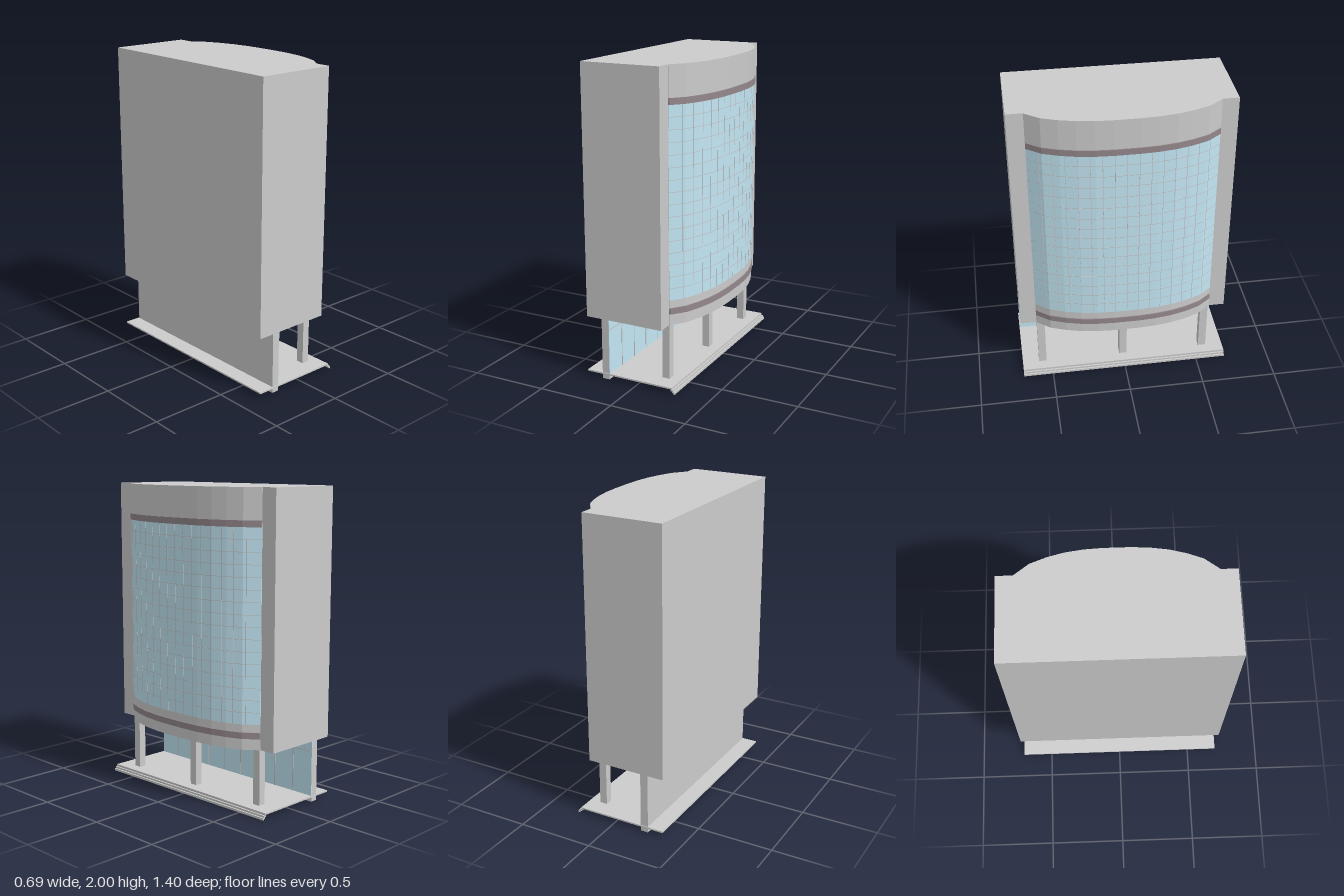
import * as THREE from 'three';

const grey = new THREE.MeshStandardMaterial({ color: 0xcccccc, flatShading: true });
const glass = new THREE.MeshStandardMaterial({ color: 0xc3e7f5, flatShading: true });
const stone = new THREE.MeshStandardMaterial({ color: 0x94888c, flatShading: true });
const frame = new THREE.MeshStandardMaterial({ color: 0xc6c0be, flatShading: true });

// Half plan of the bowed front as [x, z], mirrored to the full curve
const half = [[0.182, 0.59], [0.25, 0.5], [0.288, 0.4], [0.314, 0.3], [0.33, 0.19], [0.336, 0.08]];
const bow = [...half, ...half.map(([x, z]) => [x, -z]).reverse()];

export function createModel() {
  const model = new THREE.Group();

  function add(name, geometry, material, parent = model) {
    const mesh = new THREE.Mesh(geometry, material);
    mesh.name = name;
    parent.add(mesh);
    return mesh;
  }

  // Box given by its limits on each axis
  function box(name, x0, x1, y0, y1, z0, z1, material = grey, parent = model) {
    const g = new THREE.BoxGeometry(x1 - x0, y1 - y0, z1 - z0);
    g.translate((x0 + x1) / 2, (y0 + y1) / 2, (z0 + z1) / 2);
    return add(name, g, material, parent);
  }

  // Slab following the bowed plan, pushed outwards by "out"
  function bowSlab(name, y0, y1, out, material, parent = model) {
    const pts = bow.map(([x, z]) => new THREE.Vector2(x + out, z));
    const shape = new THREE.Shape([new THREE.Vector2(0.18, 0.59), ...pts, new THREE.Vector2(0.18, -0.59)]);
    const g = new THREE.ExtrudeGeometry(shape, { depth: y1 - y0, bevelEnabled: false });
    g.rotateX(Math.PI / 2);
    g.translate(0, y1, 0);
    return add(name, g, material, parent);
  }

  // Depth of the bow at a given z
  function bowX(z) {
    for (let i = 0; i < bow.length - 1; i++) {
      const [xa, za] = bow[i], [xb, zb] = bow[i + 1];
      if (z <= za && z >= zb) return xa + (xb - xa) * (za - z) / (za - zb);
    }
    return 0.182;
  }

  // Main tower block
  box('towerBlock', -0.35, 0.18, 0.4, 2, -0.695, 0.695);

  // Bowed bay: lower apron, glazing, upper parapet
  bowSlab('bayApron', 0.4, 0.56, 0, grey);
  bowSlab('bayGlazing', 0.56, 1.77, 0, glass);
  bowSlab('bayParapet', 1.77, 2, 0, grey);
  bowSlab('lowerStoneBand', 0.47, 0.51, 0.007, stone);
  bowSlab('upperStoneBand', 1.765, 1.805, 0.007, stone);

  // Fine glazing grid
  const grid = new THREE.Group();
  grid.name = 'glazingBars';
  model.add(grid);
  for (let i = 1; i < 16; i++) {
    const y = 0.56 + i * 0.0755;
    bowSlab('horizontalBar', y - 0.0015, y + 0.0015, 0.001, frame, grid);
    const z = -0.59 + i * 0.07375;
    const x = bowX(z);
    box('verticalBar', x - 0.004, x + 0.001, 0.56, 1.77, z - 0.0015, z + 0.0015, frame, grid);
  }

  // Rear lobby wall with a glazed inner face
  box('lobbyWall', -0.243, -0.194, 0, 0.4, -0.695, 0.695);
  box('lobbyGlass', -0.194, -0.191, 0.04, 0.4, -0.695, 0.695, glass);
  for (let i = 1; i < 9; i++) {
    const z = -0.695 + i * 1.39 / 9;
    box('lobbyMullion', -0.191, -0.189, 0.04, 0.4, z - 0.003, z + 0.003, frame);
  }
  box('lobbyTransom', -0.191, -0.189, 0.332, 0.338, -0.695, 0.695, frame);

  // Front columns
  for (const z of [-0.558, 0.002, 0.562]) box('column', 0.13, 0.18, 0, 0.4, z - 0.026, z + 0.026);

  // Floor plate with thin folded steps along the front
  const profile = [
    [-0.35, 0.04], [-0.35, 0.03], [0.245, 0.03], [0.245, 0.018], [0.256, 0.018], [0.256, 0.008],
    [0.266, 0.008], [0.266, 0], [0.274, 0], [0.274, 0.014], [0.263, 0.014], [0.263, 0.026],
    [0.252, 0.026], [0.252, 0.04],
  ].map(([x, y]) => new THREE.Vector2(x, y));
  const floor = new THREE.ExtrudeGeometry(new THREE.Shape(profile), { depth: 1.4, bevelEnabled: false });
  floor.translate(0, 0, -0.7);
  add('floorPlateWithSteps', floor, grey);

  return model;
}
